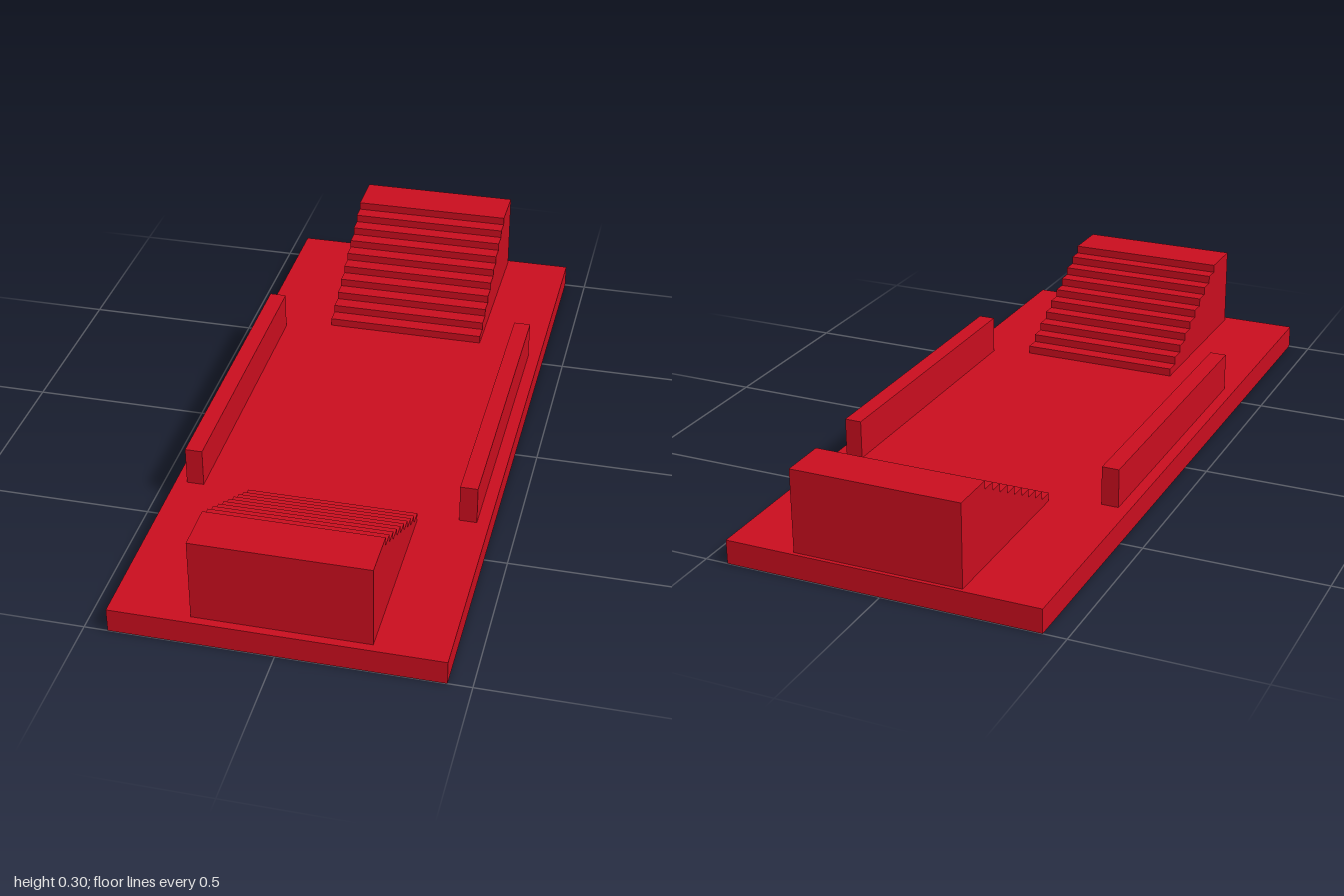
import * as THREE from 'three';

const BASE_TOP = 0.067;
const material = new THREE.MeshStandardMaterial({ color: 0xc80d1e, flatShading: true });

// Box given by its minimum and maximum corners
function box(name, [x0, y0, z0], [x1, y1, z1]) {
  const mesh = new THREE.Mesh(new THREE.BoxGeometry(x1 - x0, y1 - y0, z1 - z0), material);
  mesh.position.set((x0 + x1) / 2, (y0 + y1) / 2, (z0 + z1) / 2);
  mesh.name = name;
  return mesh;
}

// Solid flight rising away from the centre, ending in a landing; dir is +1 (front) or -1 (back)
function staircase(name, dir, startZ) {
  const steps = 10, tread = 0.043, rise = 0.0231, landing = 0.133, width = 0.468;
  const profile = new THREE.Shape();
  profile.moveTo(0, 0);
  for (let i = 0; i < steps; i++) {
    const end = (i + 1) * tread + (i === steps - 1 ? landing - tread : 0);
    profile.lineTo(i * tread, (i + 1) * rise);
    profile.lineTo(end, (i + 1) * rise);
  }
  profile.lineTo((steps - 1) * tread + landing, 0);

  const geometry = new THREE.ExtrudeGeometry(profile, { depth: width, bevelEnabled: false });
  geometry.translate(0, 0, -width / 2);
  geometry.rotateY(-dir * Math.PI / 2);
  const mesh = new THREE.Mesh(geometry, material);
  mesh.position.set(0.012, BASE_TOP, startZ);
  mesh.name = name;
  return mesh;
}

export function createModel() {
  const model = new THREE.Group();
  model.name = 'stairPlatform';

  // Ground slab
  model.add(box('base', [-0.437, 0, -1], [0.437, BASE_TOP, 1]));

  // Low walls along both sides
  model.add(box('rightWall', [-0.405, BASE_TOP, -0.433], [-0.357, 0.176, 0.431]));
  model.add(box('leftWall', [0.355, BASE_TOP, -0.433], [0.403, 0.176, 0.431]));

  // Facing flights of stairs
  model.add(staircase('frontStairs', 1, 0.457));
  model.add(staircase('backStairs', -1, -0.469));

  return model;
}
